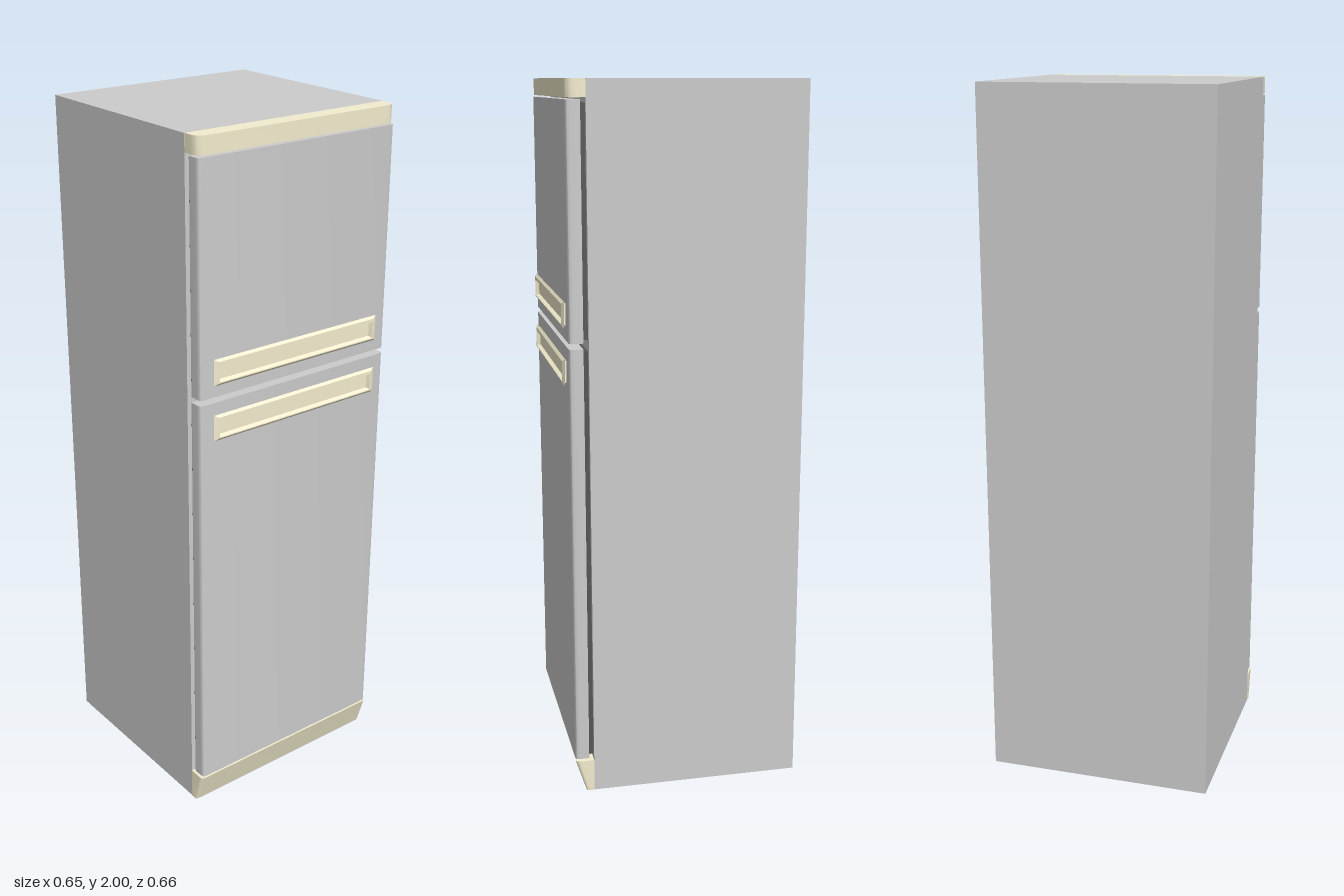
import * as THREE from 'three';
import { toCreasedNormals } from 'three/addons/utils/BufferGeometryUtils.js';

const grey = new THREE.MeshStandardMaterial({ color: 0xcccccc });
const cream = new THREE.MeshStandardMaterial({ color: 0xf3ecce });
const dark = new THREE.MeshStandardMaterial({ color: 0x555555 });

function add(parent, name, geometry, material) {
  const mesh = new THREE.Mesh(geometry, material);
  mesh.name = name;
  parent.add(mesh);
  return mesh;
}

// Box between z0 and z1 whose two front vertical edges are rounded by r
function panel(w, y0, y1, z0, z1, r) {
  const s = new THREE.Shape();
  s.moveTo(w, -z0);
  s.lineTo(-w, -z0);
  s.lineTo(-w, -z1 + r);
  s.quadraticCurveTo(-w, -z1, -w + r, -z1);
  s.lineTo(w - r, -z1);
  s.quadraticCurveTo(w, -z1, w, -z1 + r);
  s.closePath();
  const g = new THREE.ExtrudeGeometry(s, { depth: y1 - y0, bevelEnabled: false, curveSegments: 6 });
  g.rotateX(-Math.PI / 2);
  g.translate(0, y0, 0);
  return g;
}

// Loft through rectangles [half width, bottom, top, z], closed by a plate on the last one
function rectLoft(rings) {
  const corners = rings.map(([w, b, t, z]) => [[-w, b, z], [w, b, z], [w, t, z], [-w, t, z]]);
  const p = [];
  const quad = (a, b, c, d) => p.push(...a, ...b, ...c, ...a, ...c, ...d);
  for (let i = 0; i < corners.length - 1; i++) {
    for (let k = 0; k < 4; k++) {
      const n = (k + 1) % 4;
      quad(corners[i][k], corners[i][n], corners[i + 1][n], corners[i + 1][k]);
    }
  }
  quad(...corners[corners.length - 1]);
  const g = new THREE.BufferGeometry();
  g.setAttribute('position', new THREE.Float32BufferAttribute(p, 3));
  g.computeVertexNormals();
  return g;
}

// Recessed handle with a bevelled rim, centred on height y
function handle(y) {
  return rectLoft([
    [0.27, y - 0.03, y + 0.03, 0.319],
    [0.27, y - 0.03, y + 0.03, 0.326],
    [0.283, y - 0.037, y + 0.037, 0.326],
    [0.271, y - 0.03, y + 0.03, 0.332],
    [0.268, y - 0.027, y + 0.02, 0.332],
    [0.262, y - 0.022, y + 0.015, 0.3215],
  ]);
}

export function createModel() {
  const model = new THREE.Group();
  model.name = 'refrigerator';

  // Cabinet
  const cabinet = add(model, 'cabinet', new THREE.BoxGeometry(0.652, 2, 0.6), grey);
  cabinet.position.set(0, 1, -0.033);

  // Top trim
  add(model, 'topTrim', toCreasedNormals(panel(0.325, 1.952, 2, 0.267, 0.32, 0.03), 0.6), cream);

  // Plinth: front leans back toward the floor
  const base = panel(0.327, 0, 0.094, 0.267, 0.32, 0.012);
  const pos = base.attributes.position;
  for (let i = 0; i < pos.count; i++) {
    if (pos.getY(i) < 0.01) pos.setZ(i, 0.267 + (pos.getZ(i) - 0.267) * 0.42);
  }
  add(model, 'plinth', toCreasedNormals(base, 0.6), cream);

  // Doors with gasket and handle
  const doors = [
    ['freezerDoor', 1.314, 1.947, 1.385],
    ['fridgeDoor', 0.1, 1.298, 1.228],
  ];
  for (const [name, y0, y1, handleY] of doors) {
    const door = new THREE.Group();
    door.name = name;
    add(door, 'doorPanel', toCreasedNormals(panel(0.323, y0, y1, 0.281, 0.32, 0.012), 0.6), grey);
    add(door, 'gasket', panel(0.313, y0 + 0.008, y1 - 0.008, 0.266, 0.282, 0.001), dark);
    add(door, 'handle', handle(handleY), cream);
    model.add(door);
  }
  return model;
}
